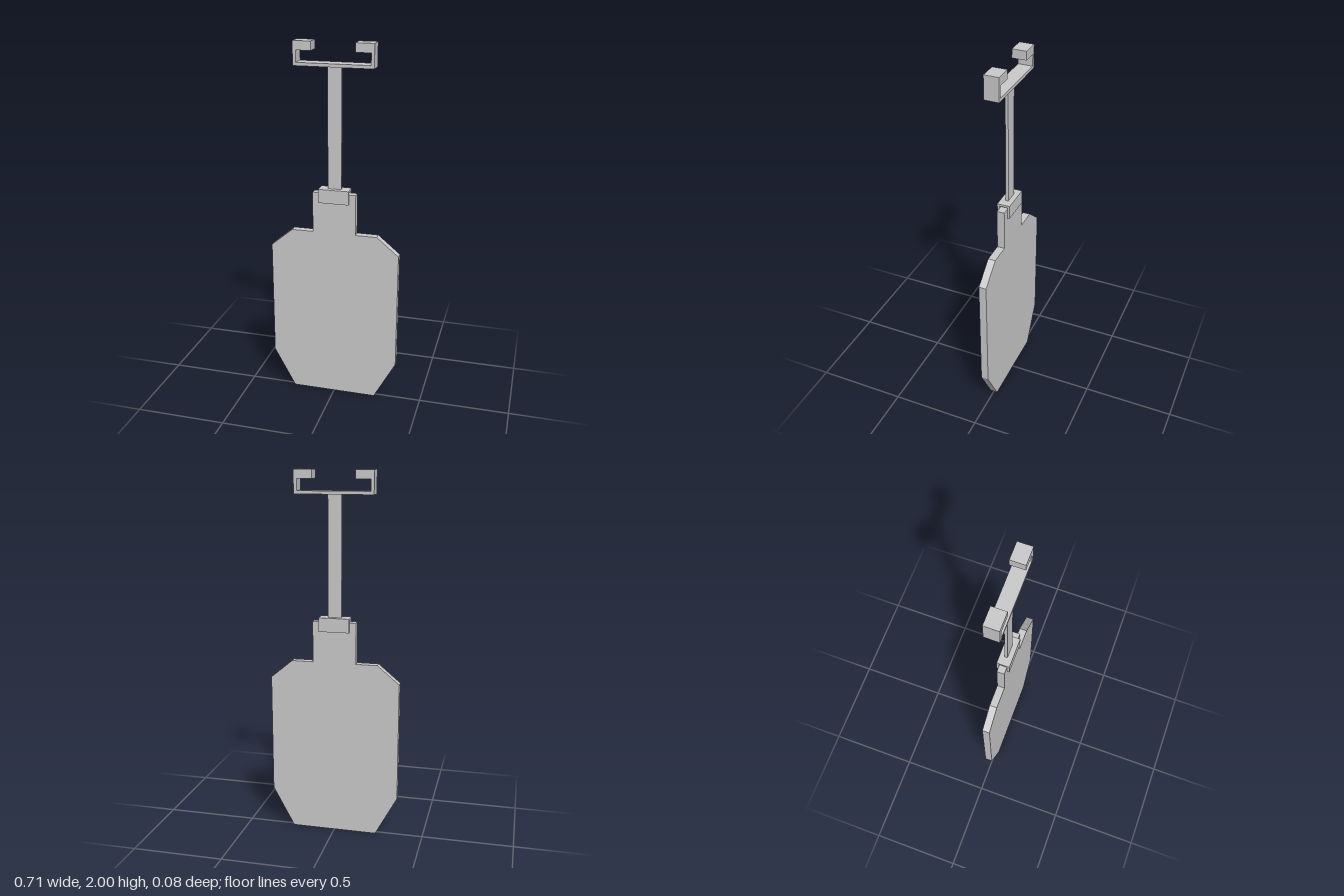
import * as THREE from 'three';

const material = new THREE.MeshStandardMaterial({ color: 0xcccccc, flatShading: true });

// Extrudes an outline of [a, b] points, centred on its depth
function prism(name, points, depth) {
  const shape = new THREE.Shape(points.map(([a, b]) => new THREE.Vector2(a, b)));
  const geometry = new THREE.ExtrudeGeometry(shape, { depth, bevelEnabled: false });
  geometry.translate(0, 0, -depth / 2);
  const mesh = new THREE.Mesh(geometry, material);
  mesh.name = name;
  return mesh;
}

// Completes a right-hand half outline with its mirror image
const mirrored = (half) => [...half, ...half.map(([a, b]) => [-a, b]).reverse()];

export function createModel() {
  const group = new THREE.Group();
  group.name = 'hangingTarget';

  // Target plate with chamfered corners and a neck
  group.add(prism('targetPlate', mirrored([
    [0.237, 0], [0.357, 0.222], [0.357, 0.88], [0.237, 0.98], [0.119, 0.98], [0.119, 1.205],
  ]), 0.041));

  // Folded clip straddling the top of the neck
  const clip = prism('neckClip', mirrored([
    [0.035, 1.152], [0.035, 1.228], 
  ]).slice(0, 2).concat([
    [-0.035, 1.228], [-0.035, 1.152], [-0.022, 1.152], [-0.022, 1.216], [0.022, 1.216], [0.022, 1.152],
  ]), 0.166);
  clip.rotation.y = Math.PI / 2;
  group.add(clip);

  // Flat hanger strap
  const strap = new THREE.Mesh(new THREE.BoxGeometry(0.074, 0.652, 0.016), material);
  strap.name = 'hangerStrap';
  strap.position.y = 1.55;
  group.add(strap);

  // Open bracket with inward-turned hooks
  group.add(prism('topBracket', mirrored([
    [0.212, 1.875], [0.212, 2], [0.115, 2], [0.115, 1.953], [0.195, 1.953], [0.195, 1.892],
  ]), 0.078));

  return group;
}
